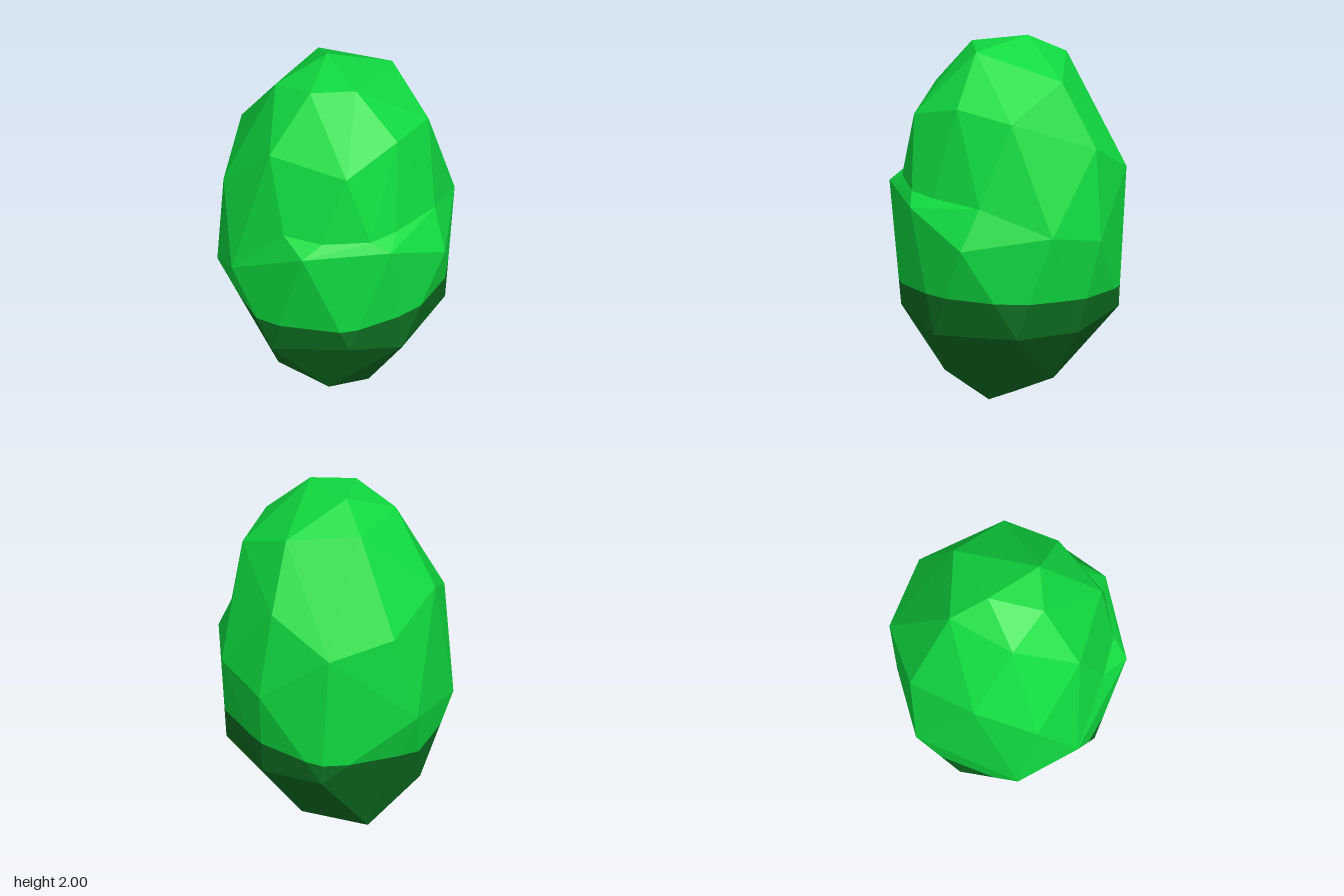
import * as THREE from 'three';
import { ConvexGeometry } from 'three/addons/geometries/ConvexGeometry.js';

const points = (list) => list.map((p) => new THREE.Vector3(...p));

// Corners of the crown (top cap of the bush)
const crownCorners = [
  [-0.12, 2.0, -0.1], [0.13, 1.97, 0.12], [-0.1, 1.95, 0.2], [0.15, 1.85, -0.355],
  [-0.34, 1.87, 0.09], [-0.24, 1.885, -0.28], [-0.24, 1.66, 0.43], [0.435, 1.69, -0.15],
  [0.38, 1.73, 0.16], [0.2, 1.62, 0.44],
];
// Corners around the middle shared by the crown and the body
const sharedCorners = [
  [-0.59, 1.5, -0.06], [0.18, 1.5, -0.55], [-0.46, 1.37, -0.44], [-0.56, 1.32, 0.28],
  [-0.15, 1.3, -0.63], [0.24, 1.01, -0.59], [0.49, 1.09, -0.39], [-0.57, 0.87, -0.38],
  [-0.44, 0.9, 0.47],
  // inner line of the ledge
  [-0.12, 1.235, 0.53], [0.1, 1.235, 0.53], [0.33, 1.235, 0.42],
  [0.42, 1.235, 0.28], [0.53, 1.235, 0],
];
// Corners of the body: outer rim of the ledge, waist, lower ring, base
const bodyCorners = [
  [0.02, 1.17, 0.62], [0.44, 1.18, 0.4], [0.62, 1.02, 0.08],
  [-0.63, 0.72, 0.19], [-0.2, 0.45, 0.5], [0.24, 0.56, 0.5], [0.45, 0.48, 0.27],
  [0.51, 0.51, -0.2], [0.25, 0.49, -0.47], [-0.1, 0.53, -0.6], [-0.53, 0.38, -0.15],
  [0.05, 0.14, 0.31], [-0.28, 0.14, 0.2], [-0.27, 0.1, -0.25], [0.08, 0.16, -0.29],
  [0.17, 0.04, 0.04], [-0.09, 0, -0.03],
];

// Keeps the side of a faceted shell where height(p) is positive
function clipShell(geometry, height) {
  const source = geometry.getAttribute('position');
  const out = [];
  for (let i = 0; i < source.count; i += 3) {
    const tri = [0, 1, 2].map((k) => new THREE.Vector3().fromBufferAttribute(source, i + k));
    const poly = [];
    tri.forEach((a, k) => {
      const b = tri[(k + 1) % 3];
      const ha = height(a), hb = height(b);
      if (ha >= 0) poly.push(a);
      if (ha * hb < 0) poly.push(a.clone().lerp(b, ha / (ha - hb)));
    });
    for (let k = 1; k + 1 < poly.length; k++) {
      for (const p of [poly[0], poly[k], poly[k + 1]]) out.push(p.x, p.y, p.z);
    }
  }
  const result = new THREE.BufferGeometry();
  result.setAttribute('position', new THREE.Float32BufferAttribute(out, 3));
  result.computeVertexNormals();
  return result;
}

export function createModel() {
  const group = new THREE.Group();
  group.name = 'bush';
  const leafGreen = new THREE.MeshStandardMaterial({ color: 0x10dc40 });
  leafGreen.name = 'leaf green';
  const darkGreen = new THREE.MeshStandardMaterial({ color: 0x0e7022 });
  darkGreen.name = 'dark green';

  const add = (name, geometry, material) => {
    const mesh = new THREE.Mesh(geometry, material);
    mesh.name = name;
    group.add(mesh);
  };

  // Crown, set back behind the ledge at the front
  add('crown', new ConvexGeometry(points([...crownCorners, ...sharedCorners])), leafGreen);

  // Body, split by a slightly tilted colour line
  const body = new ConvexGeometry(points([...sharedCorners, ...bodyCorners]));
  const aboveLine = (p) => p.y - 0.655 - 0.115 * p.x;
  add('middle', clipShell(body, aboveLine), leafGreen);
  add('base', clipShell(body, (p) => -aboveLine(p)), darkGreen);

  return group;
}
